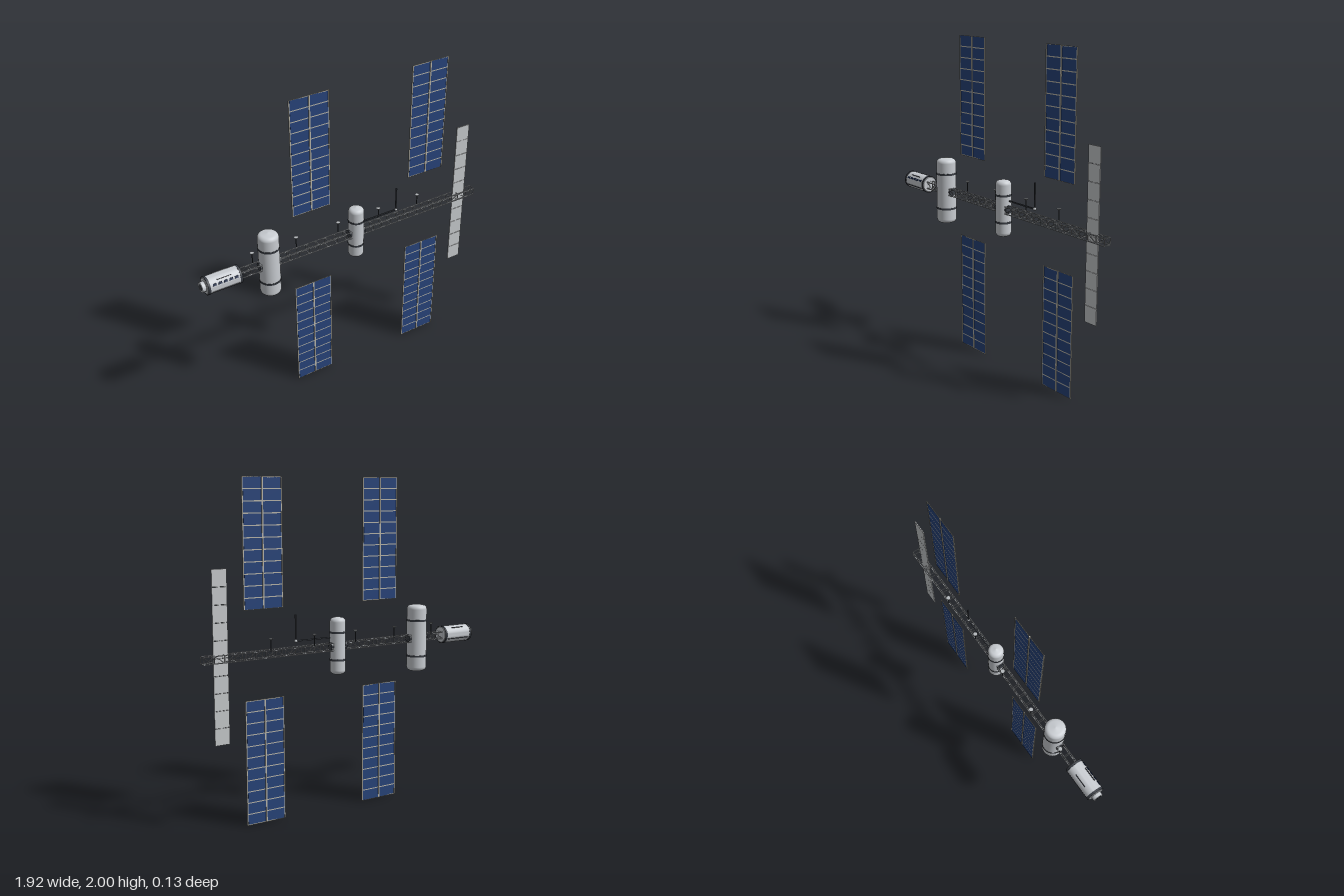
import * as THREE from 'three';
import { toCreasedNormals } from 'three/addons/utils/BufferGeometryUtils.js';

const paint = (name, color) => {
  const m = new THREE.MeshStandardMaterial({ color });
  m.name = name;
  return m;
};

export function createModel() {
  const hull = paint('hull grey', 0xc9cdd2);
  const dark = paint('dark metal', 0x3a3e45);
  const strut = paint('truss grey', 0xb4b8bc);
  const cell = paint('solar blue', 0x274379);
  const frame = paint('panel frame', 0xb8b5aa);
  const white = paint('radiator grey', 0xc6c9cb);
  const glass = paint('window blue', 0x1a2947);

  const station = new THREE.Group();
  station.name = 'spaceStation';

  const add = (parent, name, geometry, material, x = 0, y = 0, z = 0) => {
    const mesh = new THREE.Mesh(geometry, material);
    mesh.name = name;
    mesh.position.set(x, y, z);
    parent.add(mesh);
    return mesh;
  };
  const box = (parent, name, w, h, d, material, x, y, z) =>
    add(parent, name, new THREE.BoxGeometry(w, h, d), material, x, y, z);
  const tube = (parent, name, r, h, material, x, y, z) =>
    add(parent, name, new THREE.CylinderGeometry(r, r, h, 32), material, x, y, z);
  const group = (name, x, y, z = 0) => {
    const g = new THREE.Group();
    g.name = name;
    g.position.set(x, y, z);
    station.add(g);
    return g;
  };

  // Square lattice truss with crossed diagonals on front and back
  const truss = group('truss', 0, 1);
  const x0 = -0.72, x1 = 0.957, bays = 26, step = (x1 - x0) / bays, half = 0.021, t = 0.005;
  for (const sy of [-1, 1]) for (const sz of [-1, 1])
    box(truss, 'longeron', x1 - x0, t, t, strut, (x0 + x1) / 2, sy * half, sz * half);
  for (let i = 0; i <= bays; i++) {
    const x = x0 + i * step;
    for (const s of [-1, 1]) {
      box(truss, 'upright', 0.004, 2 * half, 0.004, strut, x, 0, s * half);
      box(truss, 'crossbar', 0.004, 0.004, 2 * half, strut, x, s * half, 0);
      if (i === bays) continue;
      const brace = box(truss, 'diagonal', Math.hypot(step, 2 * half), 0.003, 0.003, strut, x + step / 2, 0, s * half);
      brace.rotation.z = Math.atan2(2 * half, step) * s * (i % 2 ? 1 : -1);
    }
  }

  // Upright pressurised modules with rounded shoulders and dark bands
  const capsule = (name, x, y, r, height, bandOffset) => {
    const g = group(name, x, y);
    const h = height / 2, c = 0.026;
    const profile = [new THREE.Vector2(0, -h)];
    for (let i = 0; i <= 6; i++) {
      const a = (i / 6) * Math.PI / 2;
      profile.push(new THREE.Vector2(r - c + c * Math.sin(a), -h + 0.006 + c * (1 - Math.cos(a))));
    }
    for (let i = 7; i >= 0; i--) profile.push(new THREE.Vector2(profile[i].x, -profile[i].y));
    add(g, 'moduleHull', new THREE.LatheGeometry(profile, 40), hull);
    for (const s of [-1, 1]) {
      tube(g, 'band', r + 0.002, 0.012, dark, 0, s * bandOffset, 0);
      tube(g, 'dockingCollar', 0.024, 0.012, dark, s * (r + 0.001), 0, 0).rotation.z = Math.PI / 2;
    }
  };
  capsule('largeModule', -0.526, 1, 0.063, 0.43, 0.113);
  capsule('smallModule', 0.07, 1.003, 0.048, 0.355, 0.083);

  // Horizontal crew module at the end of the truss
  const crew = group('crewModule', -0.83, 1.002);
  const body = new THREE.LatheGeometry([
    [0, -0.11], [0.048, -0.11], [0.054, -0.104], [0.054, 0.104], [0.048, 0.11], [0, 0.11],
  ].map(([r, y]) => new THREE.Vector2(r, y)), 40);
  add(crew, 'crewHull', toCreasedNormals(body, 0.5), hull).rotation.z = Math.PI / 2;
  for (const s of [-1, 1])
    tube(crew, 'endBand', 0.056, 0.014, dark, s * 0.1, 0, 0).rotation.z = Math.PI / 2;
  tube(crew, 'dockingPort', 0.031, 0.026, hull, -0.12, 0, 0).rotation.z = Math.PI / 2;
  tube(crew, 'portHatch', 0.02, 0.004, dark, -0.132, 0, 0).rotation.z = Math.PI / 2;
  // Windows and handrails lie against the curved side
  const onSide = (name, angle, x, w, h, d, material) => {
    const m = box(crew, name, w, h, d, material, x, 0.0545 * Math.sin(angle), 0.0545 * Math.cos(angle));
    m.rotation.x = -angle;
  };
  for (let i = 0; i < 5; i++) onSide('window', 0.46, -0.066 + i * 0.034, 0.022, 0.013, 0.004, glass);
  for (const a of [0.9, Math.PI - 0.9]) onSide('handrail', a, 0, 0.09, 0.004, 0.007, dark);
  for (const a of [-0.46, Math.PI + 0.46]) onSide('handrail', a, 0, 0.17, 0.004, 0.007, dark);

  // Four solar wings: two columns of eleven cells in a light frame
  const wing = (x, y) => {
    const g = group('solarWing', x, y);
    const W = 0.255, H = 0.74, rows = 11, pitch = H / rows;
    for (const s of [-1, 1]) {
      box(g, 'sideRail', 0.007, H, 0.005, frame, s * (W / 2 - 0.0035), 0, 0);
      for (let i = 0; i < rows; i++)
        box(g, 'solarCell', 0.114, pitch - 0.006, 0.003, cell, s * 0.0625, -H / 2 + (i + 0.5) * pitch, 0);
    }
    for (let i = 0; i <= rows; i++)
      box(g, 'rowBar', W - 0.01, 0.006, 0.003, frame, 0, THREE.MathUtils.clamp(-H / 2 + i * pitch, -H / 2 + 0.003, H / 2 - 0.003), 0);
    box(g, 'centreMast', 0.009, H, 0.009, frame, 0, 0, 0);
  };
  for (const x of [-0.236, 0.57]) for (const y of [0.37, 1.63]) wing(x, y);

  // Radiator strip of ten plates
  const radiator = group('radiator', 0.845, 1.003);
  for (let i = 0; i < 10; i++)
    box(radiator, 'radiatorPlate', 0.092, 0.0975, 0.006, white, 0, (i - 4.5) * 0.0995, 0);
  box(radiator, 'radiatorSpine', 0.01, 0.99, 0.004, strut, 0, 0, 0);

  // Jointed robot arm
  const arm = group('robotArm', 0, 1.057);
  box(arm, 'lowerBoom', 0.235, 0.008, 0.008, dark, 0.245, 0, 0);
  box(arm, 'upperBoom', 0.007, 0.155, 0.007, dark, 0.361, 0.077, 0);
  add(arm, 'elbow', new THREE.SphereGeometry(0.01, 16, 12), strut, 0.361, 0, 0);

  // Row of small antennas along the rear top edge
  for (let i = 0; i < 5; i++) {
    const g = group('antenna', -0.62 + i * 0.29, 1.02, -0.027);
    tube(g, 'antennaPost', 0.003, 0.07, dark, 0, 0.033, 0);
    add(g, 'antennaDish', new THREE.CylinderGeometry(0.014, 0.007, 0.008, 20), strut, 0, 0.068, 0);
  }
  return station;
}
